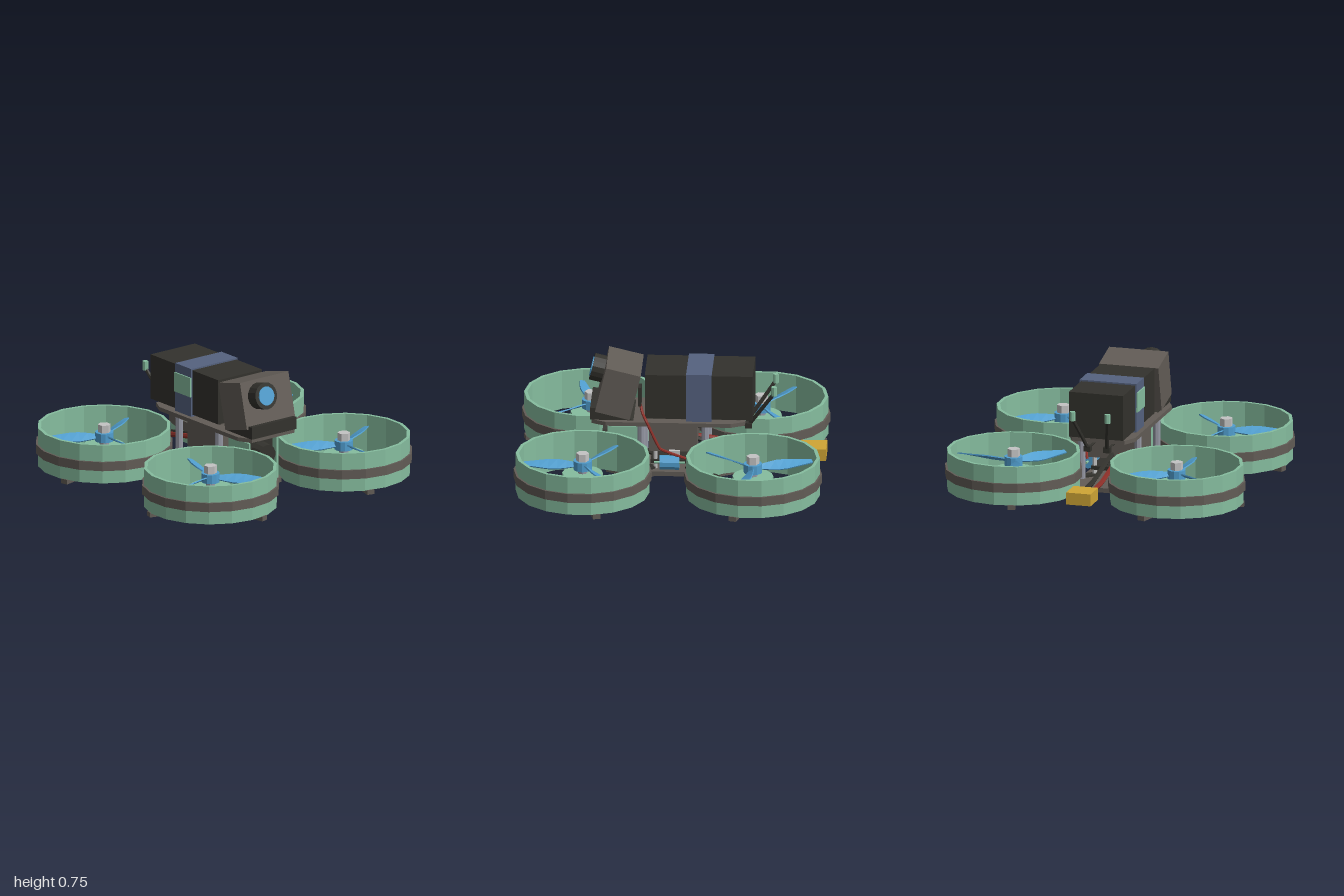
import * as THREE from 'three';

const mat = (name, color, flatShading = true) => {
  const m = new THREE.MeshStandardMaterial({ color });
  m.name = name;
  m.flatShading = flatShading;
  return m;
};

export function createModel() {
  const green = mat('ductGreen', 0x86bd9f), carbon = mat('carbonGrey', 0x625c56), dark = mat('darkGrey', 0x33322d),
    blue = mat('propBlue', 0x519fd0), slate = mat('strapSlate', 0x55627f), gold = mat('connectorGold', 0xcfa535),
    red = mat('wireRed', 0x8c2f28), silver = mat('silver', 0xc4c4c4), steel = mat('steelGrey', 0x9698a4);
  const root = new THREE.Group();
  root.name = 'ductedQuadcopter';

  // ---- helpers ----
  const add = (parent, name, geo, m, x = 0, y = 0, z = 0) => {
    const mesh = new THREE.Mesh(geo, m);
    mesh.name = name;
    mesh.position.set(x, y, z);
    parent.add(mesh);
    return mesh;
  };
  // box given by its limits
  const box = (parent, name, m, x0, x1, y0, y1, z0, z1) => add(parent, name,
    new THREE.BoxGeometry(x1 - x0, y1 - y0, z1 - z0), m, (x0 + x1) / 2, (y0 + y1) / 2, (z0 + z1) / 2);
  // upright cylinder from y0 to y1
  const cyl = (parent, name, m, r, y0, y1, n, x = 0, z = 0, rTop = r) => add(parent, name,
    new THREE.CylinderGeometry(rTop, r, y1 - y0, n), m, x, (y0 + y1) / 2, z);
  const tube = (parent, name, m, r, pts) => add(parent, name, new THREE.TubeGeometry(
    new THREE.CatmullRomCurve3(pts.map(p => new THREE.Vector3(...p)), false, 'catmullrom', 0.15), pts.length * 5, r, 6), m);
  // flat bar lying along a heading, from distance d0 to d1
  const bar = (parent, name, m, heading, d0, d1, w, y0, y1) => {
    const geo = new THREE.BoxGeometry(d1 - d0, y1 - y0, w).translate((d0 + d1) / 2, (y0 + y1) / 2, 0);
    const mesh = add(parent, name, geo, m);
    mesh.rotation.y = -heading;
    return mesh;
  };
  // chamfered deck plate
  const deck = (parent, name, m, hx, z0, z1, c, y0, y1) => {
    const s = new THREE.Shape([[-hx + c, -z1], [hx - c, -z1], [hx, -z1 + 2 * c], [hx, -z0 - 2 * c],
      [hx - c, -z0], [-hx + c, -z0], [-hx, -z0 - 2 * c], [-hx, -z1 + 2 * c]].map(p => new THREE.Vector2(...p)));
    const geo = new THREE.ExtrudeGeometry(s, { depth: y1 - y0, bevelEnabled: false }).rotateX(-Math.PI / 2);
    return add(parent, name, geo, m, 0, y0, 0);
  };
  const ring = (ro, ri, y0, y1) => new THREE.LatheGeometry(
    [[ro, y0], [ro, y1], [ri, y1], [ri, y0], [ro, y0]].map(p => new THREE.Vector2(...p)), 18);
  // twisted, tapered propeller blade along +x
  const bladeGeo = hand => {
    const g = new THREE.BoxGeometry(1, 0.008, 1, 6, 1, 1), p = g.attributes.position;
    const chords = [0.035, 0.06, 0.083, 0.085, 0.07, 0.052, 0.032];
    for (let i = 0; i < p.count; i++) {
      const u = p.getX(i) + 0.5, chord = chords[Math.round(u * 6)];
      const pitch = hand * (0.62 - 0.36 * u), c = p.getZ(i) * chord, t = p.getY(i);
      p.setXYZ(i, 0.045 + 0.355 * u, c * Math.sin(pitch) + t * Math.cos(pitch), c * Math.cos(pitch) - t * Math.sin(pitch));
    }
    g.computeVertexNormals();
    return g;
  };

  // ---- four ducted motors with their arms ----
  const deg = Math.PI / 180;
  for (const [sx, sz, start, hand] of [[-1, -1, 90, 1], [1, -1, 10, -1], [-1, 1, 49, -1], [1, 1, 90, 1]]) {
    const unit = new THREE.Group();
    unit.name = (sz > 0 ? 'front' : 'back') + (sx > 0 ? 'Left' : 'Right') + 'Rotor';
    unit.position.set(sx * 0.55, 0, sz * 0.55);
    root.add(unit);
    add(unit, 'duct', ring(0.433, 0.411, 0.033, 0.29), green);
    add(unit, 'ductBand', ring(0.446, 0.43, 0.12, 0.18), carbon);
    // arm to the centre, two outer struts, inset strips beneath
    const inward = Math.atan2(-sz, -sx);
    bar(unit, 'arm', carbon, inward, 0, 0.778, 0.115, 0.004, 0.035);
    bar(unit, 'armUnderStrip', dark, inward, 0, 0.778, 0.09, 0, 0.006);
    bar(unit, 'armCable', dark, inward, 0.13, 0.62, 0.062, 0.033, 0.052);
    for (const side of [-1, 1]) {
      bar(unit, 'strut', carbon, inward + side * 120 * deg, 0.1, 0.436, 0.05, 0.004, 0.035);
      bar(unit, 'strutUnderStrip', dark, inward + side * 120 * deg, 0.1, 0.42, 0.026, 0, 0.006);
    }
    cyl(unit, 'motorPad', carbon, 0.147, 0.003, 0.037, 12);
    cyl(unit, 'motorPadInset', dark, 0.115, 0, 0.006, 12);
    // motor, hub and nut
    cyl(unit, 'motorBase', green, 0.125, 0.035, 0.085, 14);
    cyl(unit, 'motorBell', green, 0.138, 0.085, 0.16, 14, 0, 0, 0.132);
    cyl(unit, 'motorShaft', steel, 0.03, 0.155, 0.2, 8);
    cyl(unit, 'propHub', blue, 0.06, 0.185, 0.245, 12);
    cyl(unit, 'propNut', silver, 0.042, 0.24, 0.296, 6);
    for (let k = 0; k < 3; k++) {
      const blade = add(unit, 'propBlade', bladeGeo(hand), blue, 0, 0.215, 0);
      blade.rotation.y = -(start + k * 120) * deg;
    }
  }

  // ---- frame ----
  deck(root, 'bottomPlate', carbon, 0.2, -0.42, 0.42, 0.06, 0.01, 0.04);
  deck(root, 'bottomPlateInset', dark, 0.175, -0.39, 0.39, 0.05, 0.006, 0.012);
  deck(root, 'topDeck', carbon, 0.222, -0.48, 0.51, 0.045, 0.36, 0.386);
  for (const x of [-0.19, 0.19]) for (const z of [0.187, -0.225]) {
    cyl(root, 'standoff', steel, 0.025, 0.035, 0.362, 8, x, z);
  }

  // ---- electronics stack ----
  box(root, 'lowerBoard', dark, -0.15, 0.15, 0.08, 0.105, -0.15, 0.13);
  box(root, 'flightStack', carbon, -0.165, 0.165, 0.17, 0.342, -0.17, 0.14);
  for (const x of [-0.13, 0.13]) for (const z of [-0.13, 0.1]) {
    cyl(root, 'stackBolt', silver, 0.014, 0.04, 0.36, 6, x, z);
  }
  box(root, 'usbPort', silver, 0.14, 0.19, 0.155, 0.18, -0.06, 0.01);
  const cap = new THREE.Group();
  cap.name = 'capacitor';
  cap.position.set(0.2, 0.105, 0.007);
  cap.rotation.x = Math.PI / 2;
  root.add(cap);
  cyl(cap, 'capacitorBody', blue, 0.048, -0.063, 0.063, 10);
  cyl(cap, 'capacitorLead', green, 0.008, -0.1, 0.1, 6);

  // ---- nose camera ----
  box(root, 'noseCamera', dark, -0.108, 0.108, 0.045, 0.31, 0.2, 0.37);
  for (const x of [-0.122, 0.107]) box(root, 'noseCameraMount', green, x, x + 0.015, 0.04, 0.318, 0.2, 0.41);
  const nose = add(root, 'noseLens', new THREE.CylinderGeometry(0.07, 0.077, 0.08, 14), dark, 0, 0.225, 0.405);
  nose.rotation.x = Math.PI / 2;

  // ---- tilted action camera on its wedge ----
  const wedge = new THREE.Shape([[0.24, 0.386], [0.52, 0.386], [0.52, 0.468], [0.45, 0.462]].map(p => new THREE.Vector2(...p)));
  const wedgeGeo = new THREE.ExtrudeGeometry(wedge, { depth: 0.37, bevelEnabled: false }).rotateY(-Math.PI / 2);
  add(root, 'cameraWedge', wedgeGeo, dark, 0.185, 0, 0);
  const cam = new THREE.Group();
  cam.name = 'actionCamera';
  cam.position.set(0, 0.57, 0.34);
  cam.rotation.x = -13.5 * deg;
  root.add(cam);
  box(cam, 'cameraBody', carbon, -0.2, 0.2, -0.155, 0.155, -0.115, 0.115);
  for (const [name, m, r, len, z] of [['cameraLens', dark, 0.088, 0.085, 0.152], ['cameraGlass', blue, 0.062, 0.008, 0.196]]) {
    add(cam, name, new THREE.CylinderGeometry(r, r, len, 16), m, -0.065, 0.045, z).rotation.x = Math.PI / 2;
  }
  box(root, 'cameraPlug', dark, 0.1, 0.18, 0.48, 0.61, 0.19, 0.212);
  tube(root, 'cameraWire', red, 0.009, [[0.15, 0.5, 0.2], [0.2, 0.44, 0.18], [0.255, 0.4, 0.15],
    [0.255, 0.22, 0.065], [0.19, 0.13, -0.1]]);

  // ---- battery and strap ----
  box(root, 'battery', dark, -0.182, 0.182, 0.4, 0.7, -0.53, 0.167);
  box(root, 'batteryPad', carbon, -0.15, 0.15, 0.384, 0.402, -0.45, 0.15);
  box(root, 'batteryStrap', slate, -0.191, 0.191, 0.386, 0.71, -0.265, -0.1);
  box(root, 'strapBuckle', green, -0.2, -0.19, 0.52, 0.65, -0.265, -0.1);

  // ---- power lead ----
  tube(root, 'powerWireRed', red, 0.017, [[-0.055, 0.12, -0.84], [-0.055, 0.125, -0.6], [-0.055, 0.17, -0.35], [-0.055, 0.2, -0.15]]);
  tube(root, 'powerWireBlack', dark, 0.017, [[0.003, 0.12, -0.84], [0.003, 0.125, -0.6], [0.003, 0.17, -0.35], [0.003, 0.2, -0.15]]);
  box(root, 'powerConnector', gold, -0.105, 0.06, 0.08, 0.16, -0.998, -0.83);

  // ---- rear antennas ----
  for (const s of [-1, 1]) {
    box(root, 'antennaBase', dark, s * 0.065 - 0.022, s * 0.065 + 0.022, 0.305, 0.342, -0.52, -0.475);
    tube(root, 'antennaCable', dark, 0.008, [[s * 0.06, 0.3, -0.16], [s * 0.06, 0.305, -0.25], [s * 0.065, 0.325, -0.31], [s * 0.065, 0.322, -0.49]]);
    tube(root, 'antennaMast', dark, 0.013, [[s * 0.065, 0.325, -0.5], [s * 0.09, 0.44, -0.58], [s * 0.118, 0.555, -0.66]]);
    cyl(root, 'antennaCap', green, 0.019, 0.548, 0.608, 8, s * 0.118, -0.665);
  }
  return root;
}
